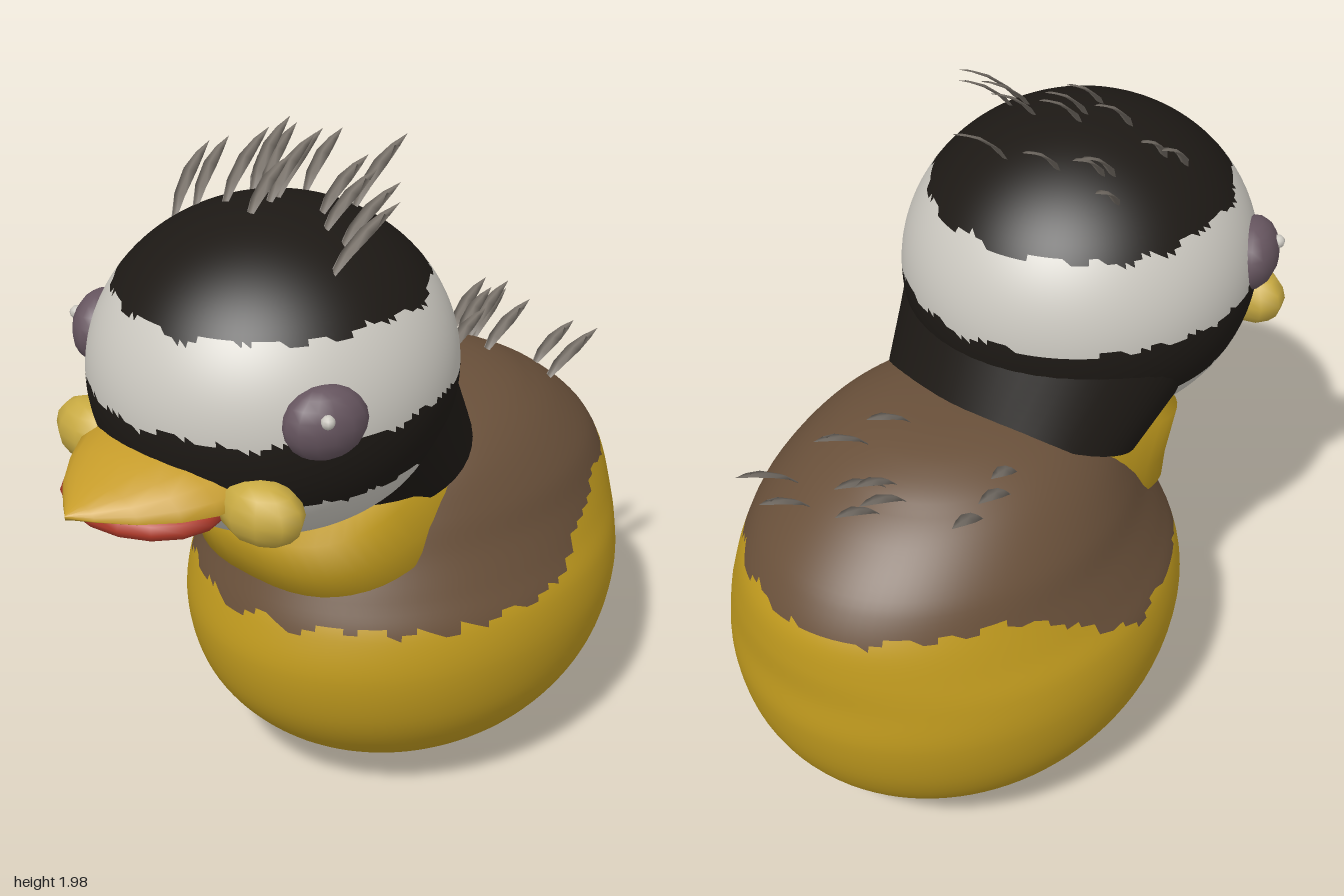
import * as THREE from 'three';

const V = (x, y, z) => new THREE.Vector3(x, y, z);
const mat = (color, side = THREE.FrontSide) => new THREE.MeshStandardMaterial({ color, side });
const YELLOW = mat(0xc09a1e), BROWN = mat(0x69503a), BLACK = mat(0x1d1915), WHITE = mat(0xcbc8c0);
const HORN = mat(0xc8aa42), BILL = mat(0xc69c2a), RED = mat(0xb03a2a), EYE = mat(0x66555f);
const QUILL = mat(0x777068, THREE.DoubleSide);

function add(parent, name, geometry, material) {
  const mesh = new THREE.Mesh(geometry, material);
  mesh.name = name;
  parent.add(mesh);
  return mesh;
}

// Skin over closed rings of equal point count
function loft(rings) {
  const n = rings[0].length, index = [];
  for (let j = 0; j < rings.length - 1; j++) {
    for (let i = 0; i < n; i++) {
      const a = j * n + i, b = j * n + (i + 1) % n;
      index.push(a, b, a + n, b, b + n, a + n);
    }
  }
  const g = new THREE.BufferGeometry().setFromPoints(rings.flat());
  g.setIndex(index);
  g.computeVertexNormals();
  return g;
}

const ring = (n, f) => Array.from({ length: n }, (_, i) => f(i / n * Math.PI * 2));

// Divide one surface into plumage areas that share its smooth normals
function plumage(parent, geometry, areas, rule) {
  const p = geometry.attributes.position, src = geometry.index.array, lists = {};
  const c = V(), t = V();
  for (let i = 0; i < src.length; i += 3) {
    c.set(0, 0, 0);
    for (let k = 0; k < 3; k++) c.add(t.fromBufferAttribute(p, src[i + k]));
    const key = rule(c.divideScalar(3));
    (lists[key] ??= []).push(src[i], src[i + 1], src[i + 2]);
  }
  for (const key in lists) {
    const g = geometry.clone();
    g.setIndex(lists[key]);
    add(parent, key, g, areas[key]);
  }
}

// Gentle raggedness for the plumage borders
const ragged = (p, s) => s * (Math.sin(p.x * 31 + p.z * 17) + Math.sin(p.z * 43 - p.x * 23)) / 2;

function ellipsoid(rx, ry, rz, ws, hs) {
  return new THREE.SphereGeometry(1, ws, hs).scale(rx, ry, rz);
}

// Pointed, backward-curving blade
function feather(base, lean) {
  const rings = [[0, 0.008], [0.3, 0.02], [0.6, 0.024], [0.82, 0.015], [1, 0]].map(([t, w]) => {
    const c = V(base.x + lean.x * t, base.y + lean.y * (1.3 * t - 0.3 * t * t), base.z + lean.z * (0.6 * t + 0.4 * t * t));
    return ring(4, a => V(c.x + Math.sin(a) * w, c.y + Math.cos(a) * w * 0.12, c.z + Math.cos(a) * w * 0.12));
  });
  return loft(rings);
}

function tuft(parent, name, surface, spots, dy, dz) {
  const caster = new THREE.Raycaster();
  const probe = new THREE.Mesh(surface, QUILL);
  spots.forEach(([x, z], i) => {
    caster.set(V(x, 3, z), V(0, -1, 0));
    const hit = caster.intersectObject(probe)[0];
    if (!hit) return;
    hit.point.y -= 0.015;
    const k = 0.9 + 0.1 * Math.sin(i * 2.4);
    add(parent, name, feather(hit.point, V(x * 0.2, dy * k, dz * k)), QUILL);
  });
}

export function createModel() {
  const model = new THREE.Group();
  model.name = 'bird';

  // Body: [height, front z, back z, half width]
  const sections = [
    [0, -0.28, -0.28, 0], [0.02, -0.09, -0.48, 0.16], [0.08, 0.09, -0.66, 0.32],
    [0.2, 0.265, -0.84, 0.47], [0.35, 0.375, -0.945, 0.56], [0.52, 0.413, -0.987, 0.595],
    [0.65, 0.39, -0.98, 0.585], [0.75, 0.35, -0.978, 0.545], [0.85, 0.3, -0.96, 0.505],
    [0.95, 0.25, -0.9, 0.47], [1.05, 0.2, -0.79, 0.41], [1.12, 0.12, -0.68, 0.34],
    [1.17, -0.02, -0.57, 0.24], [1.195, -0.2, -0.45, 0.12], [1.2, -0.33, -0.33, 0]];
  const sides = new THREE.CatmullRomCurve3(sections.map(s => V(s[3], s[0], s[1])));
  const backs = new THREE.CatmullRomCurve3(sections.map(s => V(0, s[0], s[2])));
  const bodyRings = [];
  for (let j = 0; j <= 84; j++) {
    const f = sides.getPoint(j / 84), b = backs.getPoint(j / 84);
    const zc = (f.z + b.z) / 2, rz = (f.z - b.z) / 2;
    bodyRings.push(ring(96, a => V(Math.sin(a) * f.x, Math.max(0, f.y), zc + Math.cos(a) * rz)));
  }
  const body = loft(bodyRings);
  plumage(model, body, { belly: YELLOW, back: BROWN }, p => {
    const rise = 0.2 * THREE.MathUtils.smoothstep(-p.z, 0.2, 0.65);
    return p.y < 0.67 + rise + ragged(p, 0.02) ? 'belly' : 'back';
  });

  // Tilted neck: [front z, front y, back z, back y, half width]
  const boxy = v => Math.sign(v) * Math.abs(v) ** 0.75;
  const neck = [[0.3, 0.74, -0.4, 0.95, 0.36], [0.355, 0.765, -0.4, 0.98, 0.385], [0.375, 0.83, -0.35, 1.05, 0.375],
    [0.42, 0.95, -0.25, 1.17, 0.37], [0.3, 1.02, -0.2, 1.18, 0.3]];
  add(model, 'neck', loft(neck.map(([zf, yf, zb, yb, w]) => ring(48, a => {
    const t = (1 + boxy(Math.cos(a))) / 2;
    return V(boxy(Math.sin(a)) * w, yb + (yf - yb) * t, zb + (zf - zb) * t);
  }))), YELLOW);

  // Head with banded plumage
  const head = ellipsoid(0.49, 0.45, 0.507, 112, 84).translate(0, 1.395, 0.253);
  plumage(model, head, { crown: BLACK, browBand: WHITE, eyeBand: BLACK, cheeks: WHITE }, p => {
    const y = p.y + ragged(p, 0.014);
    if (y > 1.64) return 'crown';
    if (y > 1.4) return 'browBand';
    return y > 1.205 || p.z < 0.03 ? 'eyeBand' : 'cheeks';
  });

  // Nape flaring from the back of the head onto the shoulders
  const napeRings = [];
  for (let j = 0; j <= 8; j++) {
    const t = j / 8;
    napeRings.push(ring(48, a => {
      const s = Math.sin(a), c = Math.cos(a);
      const low = V(s * 0.39, 1.06 - c * 0.115, -0.05 + c * 0.265);
      return low.lerp(V(s * 0.475, 1.36, 0.253 + c * 0.49), t);
    }));
  }
  add(model, 'nape', loft(napeRings), BLACK);

  // Upper bill: [z, half width, ridge y, edge y]
  const bill = [[0.6, 0.28, 1.34, 1.225], [0.72, 0.265, 1.332, 1.22], [0.8, 0.215, 1.308, 1.215],
    [0.88, 0.145, 1.28, 1.215], [0.95, 0.06, 1.252, 1.22], [0.995, 0, 1.232, 1.23]];
  add(model, 'upperBill', loft(bill.map(([z, w, top, edge]) => ring(20, a =>
    V(Math.cos(a) * w, edge + Math.max(Math.sin(a), 0) * (top - edge) + Math.min(Math.sin(a), 0) * 0.01, z)))), BILL);

  // Lower bill and its small pointed tip
  add(model, 'lowerBill', ellipsoid(0.245, 0.065, 0.2, 16, 10).translate(0, 1.187, 0.725), RED);
  const tip = new THREE.ConeGeometry(0.08, 0.2, 10).scale(1, 1, 0.2).rotateX(Math.PI / 2).translate(0, 1.212, 0.865);
  add(model, 'lowerBillTip', tip, HORN);

  // Eyes, glints and mouth corners
  for (const s of [1, -1]) {
    const eye = add(model, s > 0 ? 'leftEye' : 'rightEye', ellipsoid(0.075, 0.1, 0.115, 14, 10), EYE);
    eye.position.set(s * 0.412, 1.45, 0.49);
    eye.rotation.y = -s * 0.42;
    add(model, 'eyeGlint', ellipsoid(0.019, 0.019, 0.019, 8, 6), WHITE).position.set(s * 0.465, 1.485, 0.535);
    const corner = add(model, 'mouthCorner', ellipsoid(0.125, 0.09, 0.085, 10, 8), HORN);
    corner.position.set(s * 0.32, 1.215, 0.625);
    corner.rotation.y = s * 0.15;
  }

  // Crest and back feathers: [x, z] of each root
  tuft(model, 'crestFeather', head, [[-0.24, 0.3], [-0.28, 0.34], [-0.25, 0.08], [-0.2, 0.13], [-0.18, 0.11],
    [-0.08, 0.05], [0.07, 0.02], [0.11, 0.19], [-0.02, 0.22], [-0.01, 0.26], [0, 0.34], [-0.12, 0.31],
    [0.17, 0.24], [0.23, 0.24], [0.28, 0.33]], 0.165, -0.2);
  tuft(model, 'backFeather', body, [[-0.29, -0.52], [-0.3, -0.42], [-0.27, -0.36], [-0.12, -0.62], [-0.08, -0.68],
    [-0.07, -0.6], [-0.05, -0.62], [0.11, -0.74], [0.2, -0.69], [0.08, -0.54], [0.04, -0.42]], 0.125, -0.2);

  return model;
}
